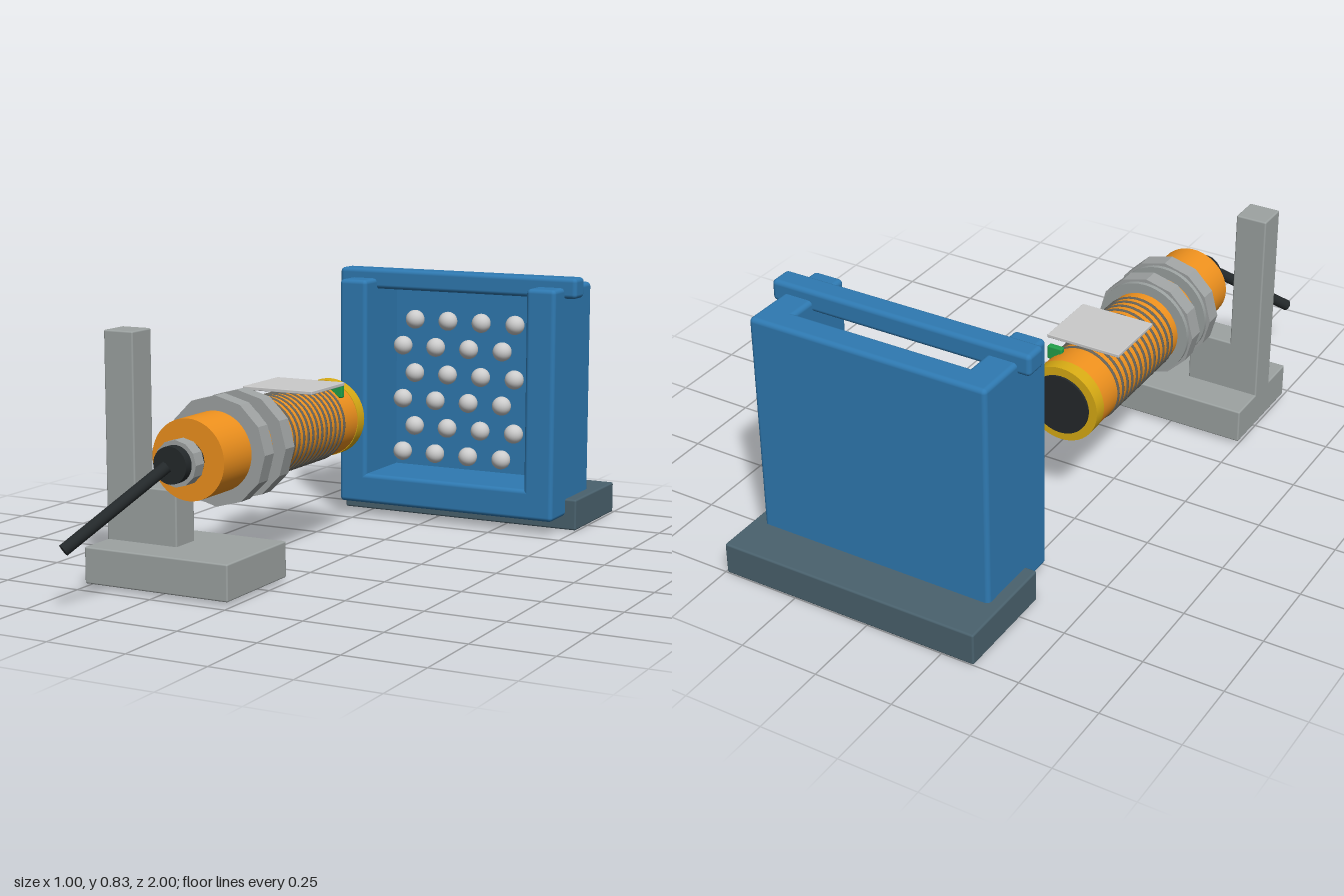
import * as THREE from 'three';
import { RoundedBoxGeometry } from 'three/addons/geometries/RoundedBoxGeometry.js';

const mat = (color, flat = false) => new THREE.MeshStandardMaterial({ color, flatShading: flat });
const blue = mat(0x2f7ab2);
const slate = mat(0x4a626e);
const grey = mat(0x9da3a2);
const nutGrey = mat(0xa0a4a4, true);
const orange = mat(0xf0921e);
const yellow = mat(0xd9ac14);
const black = mat(0x24292b);
const ringDark = mat(0x66645c);
const white = mat(0xd5d7d8);
const green = mat(0x22a04a);

function add(parent, name, geometry, material) {
  const mesh = new THREE.Mesh(geometry, material);
  mesh.name = name;
  parent.add(mesh);
  return mesh;
}

// Softly rounded box given by its extents on each axis
function block(parent, name, [x0, x1], [y0, y1], [z0, z1], material, r = 0.01) {
  const geo = new RoundedBoxGeometry(x1 - x0, y1 - y0, z1 - z0, 3, r);
  const mesh = add(parent, name, geo, material);
  mesh.position.set((x0 + x1) / 2, (y0 + y1) / 2, (z0 + z1) / 2);
  return mesh;
}

// Cylinder along z
function drum(parent, name, r, z0, z1, material, sides = 48) {
  const geo = new THREE.CylinderGeometry(r, r, z1 - z0, sides).rotateX(Math.PI / 2);
  const mesh = add(parent, name, geo, material);
  mesh.position.z = (z0 + z1) / 2;
  return mesh;
}

// Open-topped tray holding a staggered field of balls
function makeContainer() {
  const g = new THREE.Group();
  g.name = 'container';
  block(g, 'containerBase', [-0.355, 0.495], [0, 0.102], [-1, -0.655], slate, 0.006);
  block(g, 'backPanel', [-0.318, 0.457], [0.045, 0.8], [-0.857, -0.77], blue, 0.014);
  block(g, 'floorRail', [-0.318, 0.457], [0.045, 0.145], [-0.857, -0.537], blue, 0.014);
  for (const x of [-0.318, 0.357])
    block(g, 'sideWall', [x, x + 0.1], [0.045, 0.8], [-0.857, -0.537], blue, 0.014);
  block(g, 'topRail', [-0.357, 0.497], [0.765, 0.832], [-0.693, -0.617], blue, 0.014);

  const ballGeo = new THREE.SphereGeometry(0.032, 24, 16);
  for (let row = 0; row < 6; row++) {
    for (let col = 0; col < 5; col++) {
      const ball = add(g, 'ball', ballGeo, white);
      ball.position.set(-0.13 - (row % 2) * 0.045 + col * 0.1225, 0.655 - row * 0.0915, -0.732);
    }
  }
  return g;
}

// Foot, short rib and tall post
function makeBracket() {
  const g = new THREE.Group();
  g.name = 'bracket';
  block(g, 'bracketFoot', [-0.5, -0.015], [0.01, 0.12], [0.37, 0.71], grey, 0.005);
  block(g, 'bracketPost', [-0.5, -0.4], [0.1, 0.745], [0.49, 0.59], grey, 0.005);
  block(g, 'bracketRib', [-0.5, -0.258], [0.1, 0.288], [0.49, 0.59], grey, 0.005);
  return g;
}

// Threaded sensor barrel lying along z
function makeSensor() {
  const g = new THREE.Group();
  g.name = 'sensor';
  g.position.set(-0.195, 0.39, 0);
  drum(g, 'barrel', 0.121, -0.21, 0.622, orange);
  drum(g, 'frontCap', 0.123, -0.243, -0.2, yellow);
  drum(g, 'sensingFace', 0.096, -0.25, -0.23, black);

  // Thread ridges
  const ringGeo = new THREE.TorusGeometry(0.12, 0.0055, 8, 48);
  for (let i = 0; i < 13; i++)
    add(g, 'threadRing', ringGeo, ringDark).position.z = -0.108 + i * 0.029;

  // Twelve-sided lock nuts with a thin washer face
  for (const z of [0.292, 0.415]) {
    drum(g, 'lockNut', 0.166, z, z + 0.053, nutGrey, 12);
    drum(g, 'nutWasher', 0.154, z - 0.014, z + 0.002, grey);
  }

  // Cable gland
  drum(g, 'cableGland', 0.055, 0.61, 0.72, black, 32);
  drum(g, 'glandCollar', 0.069, 0.645, 0.69, nutGrey, 12);

  // Cable leaving at an angle
  const start = new THREE.Vector3(0, 0, 0.735);
  const end = new THREE.Vector3(-0.183, -0.211, 0.985);
  const dir = end.clone().sub(start);
  const cable = add(g, 'cable', new THREE.CylinderGeometry(0.018, 0.018, dir.length(), 20), black);
  cable.position.copy(start).add(end).multiplyScalar(0.5);
  cable.quaternion.setFromUnitVectors(new THREE.Vector3(0, 1, 0), dir.normalize());

  // Blank plate on top and status light
  block(g, 'labelPlate', [-0.12, 0.123], [0.125, 0.136], [-0.11, 0.107], white, 0.002);
  block(g, 'statusLight', [0.05, 0.1], [0.08, 0.125], [-0.152, -0.132], green, 0.005);
  return g;
}

export function createModel() {
  const model = new THREE.Group();
  model.name = 'proximitySensorSetup';
  model.add(makeContainer(), makeBracket(), makeSensor());
  return model;
}
